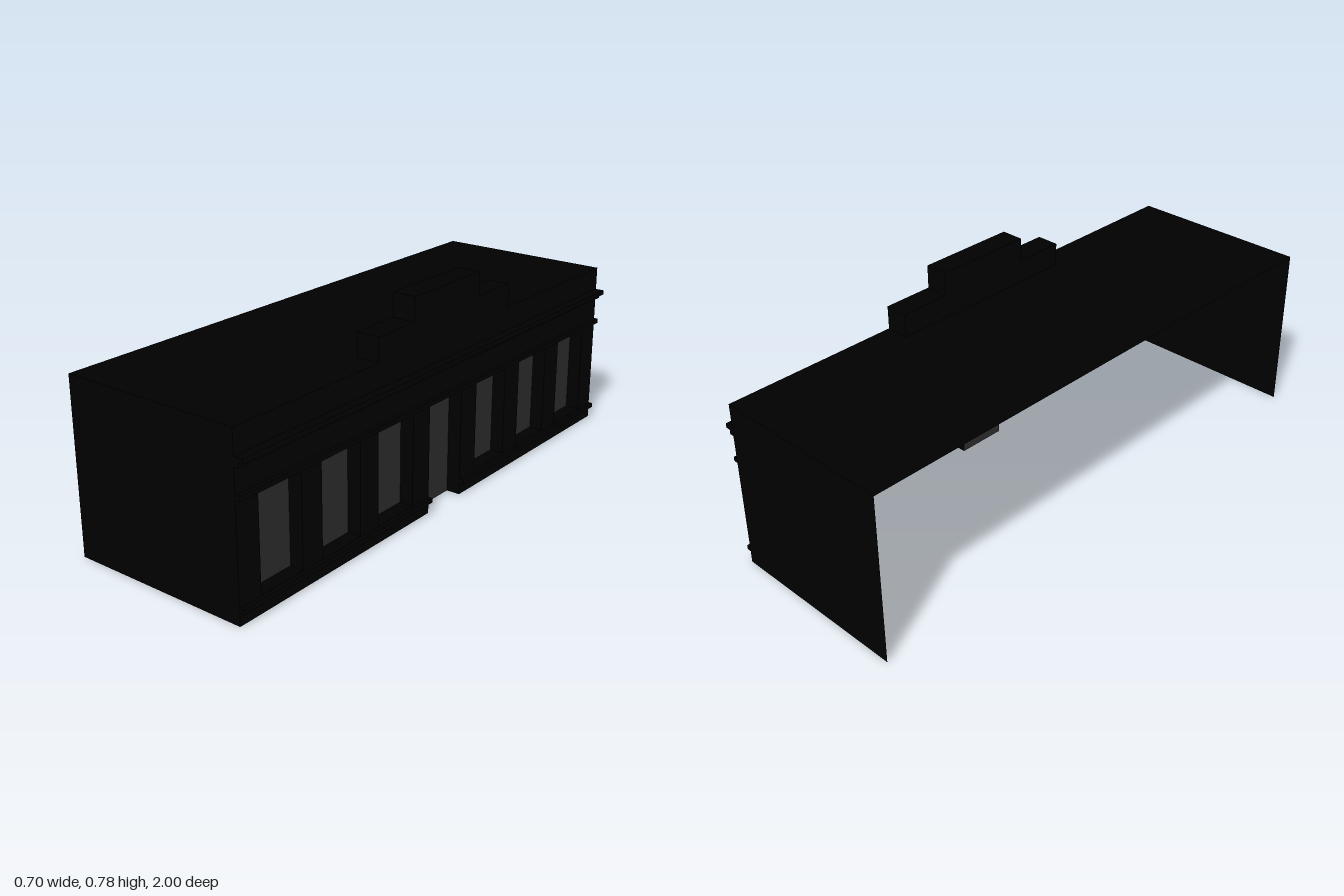
import * as THREE from 'three';

const U = 1 / 11;                       // bay module: openings 2U wide, piers 1U
const FRONT = 0.317, BACK = -0.35, ROOF = 0.61, RECESS = 0.05;
const SILL = 0.06, HEAD = 0.393;

const wallMat = new THREE.MeshStandardMaterial({ color: 0x000000, side: THREE.DoubleSide });
const glassMat = new THREE.MeshStandardMaterial({ color: 0x333333, side: THREE.DoubleSide });

export function createModel() {
  const root = new THREE.Group();
  root.name = 'building';

  const add = (name, geometry, material = wallMat, parent = root) => {
    const mesh = new THREE.Mesh(geometry, material);
    mesh.name = name;
    parent.add(mesh);
    return mesh;
  };
  // Box given by its limits on each axis
  const box = (name, x0, x1, y0, y1, z0, z1) =>
    add(name, new THREE.BoxGeometry(x1 - x0, y1 - y0, z1 - z0))
      .position.set((x0 + x1) / 2, (y0 + y1) / 2, (z0 + z1) / 2);

  // Thin shell: roof and two end walls, open at the back and below
  const depth = FRONT - BACK, midX = (FRONT + BACK) / 2;
  add('roof', new THREE.PlaneGeometry(depth, 2).rotateX(-Math.PI / 2)).position.set(midX, ROOF, 0);
  for (const s of [1, -1]) {
    const wall = add(s > 0 ? 'frontEndWall' : 'backEndWall', new THREE.PlaneGeometry(depth, ROOF));
    wall.position.set(midX, ROOF / 2, s);
    if (s < 0) wall.rotation.y = Math.PI;
  }

  // Facade sheet with a door notch and six window holes
  const facade = new THREE.Shape([
    [-1, 0], [-U, 0], [-U, HEAD], [U, HEAD], [U, 0], [1, 0], [1, ROOF], [-1, ROOF],
  ].map(([x, y]) => new THREE.Vector2(x, y)));
  const bays = [-3, -2, -1, 0, 1, 2, 3];
  for (const i of bays) {
    if (i === 0) continue;
    const c = i * 3 * U;
    facade.holes.push(new THREE.Path([
      [c - U, SILL], [c - U, HEAD], [c + U, HEAD], [c + U, SILL],
    ].map(([x, y]) => new THREE.Vector2(x, y))));
  }
  add('facade', new THREE.ShapeGeometry(facade).rotateY(Math.PI / 2)).position.x = FRONT;

  // Recessed panes with thin reveals around each opening
  for (const i of bays) {
    const isDoor = i === 0, y0 = isDoor ? 0 : SILL, h = HEAD - y0;
    const bay = new THREE.Group();
    bay.name = isDoor ? 'door' : 'window';
    bay.position.set(FRONT, y0 + h / 2, i * 3 * U);
    root.add(bay);
    add('pane', new THREE.PlaneGeometry(2 * U, h).rotateY(Math.PI / 2), glassMat, bay).position.x = -RECESS;
    for (const s of [1, -1]) {
      add('jamb', new THREE.PlaneGeometry(RECESS, h), wallMat, bay).position.set(-RECESS / 2, 0, s * U);
      if (isDoor && s < 0) continue;
      add(s > 0 ? 'lintel' : 'sill', new THREE.PlaneGeometry(RECESS, 2 * U).rotateX(Math.PI / 2), wallMat, bay)
        .position.set(-RECESS / 2, s * h / 2, 0);
    }
  }

  // Horizontal mouldings; the base course stops at the door
  box('baseCourse', FRONT, 0.333, 0.043, 0.059, U, 1);
  box('baseCourse', FRONT, 0.333, 0.043, 0.059, -1, -U);
  box('windowHeadCourse', FRONT, 0.333, 0.393, 0.409, -1, 1);
  box('lowerCornice', FRONT, 0.333, 0.494, 0.51, -1, 1);
  box('upperCornice', FRONT, 0.35, 0.51, 0.526, -1, 1);

  // Stepped parapet
  box('parapetCentre', 0.233, FRONT, ROOF, 0.776, -2 * U, 2 * U);
  box('parapetStep', 0.233, FRONT, ROOF, 0.693, 2 * U, 4 * U);
  box('parapetStep', 0.233, FRONT, ROOF, 0.693, -4 * U, -2 * U);

  return root;
}
